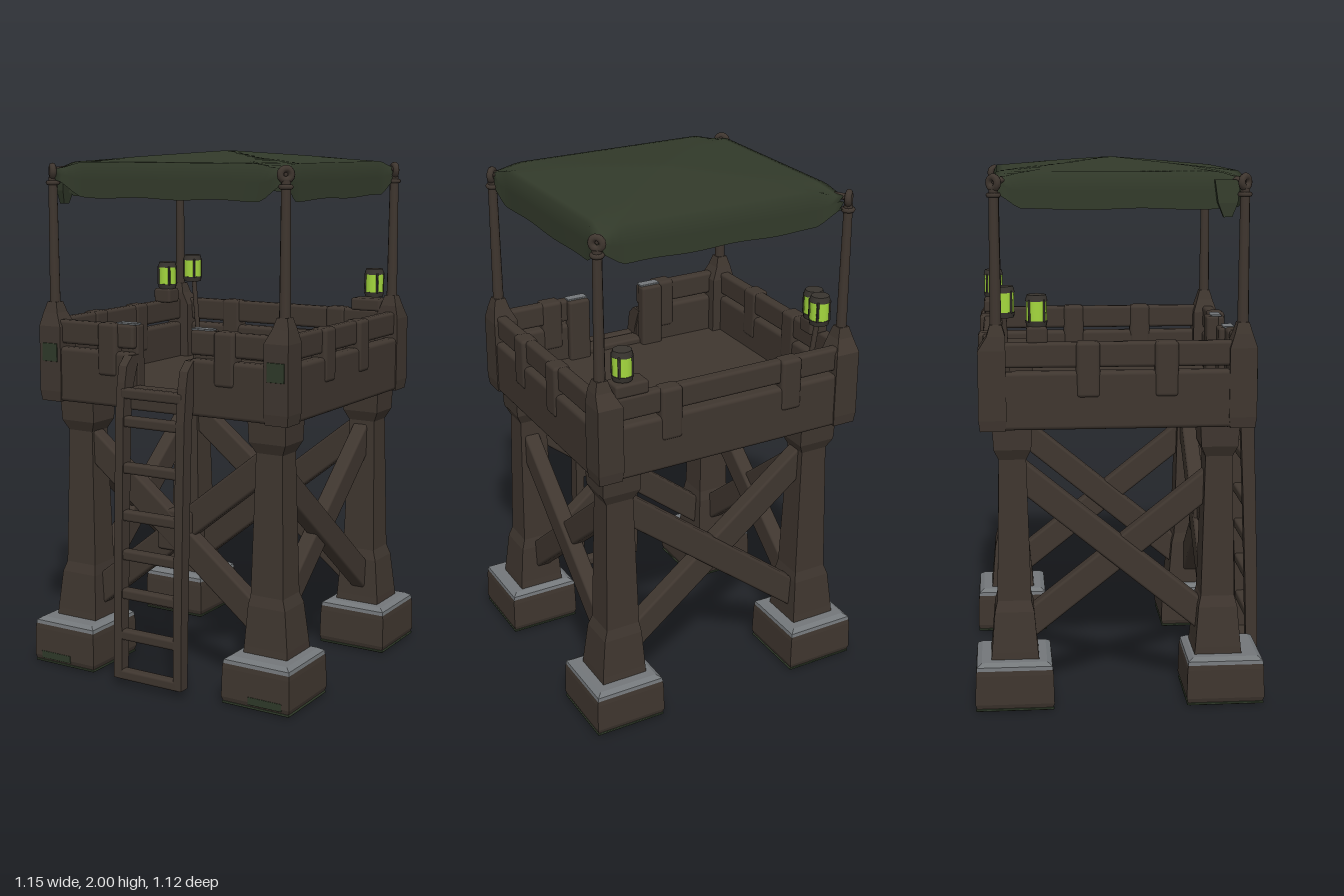
import * as THREE from 'three';
import { RoundedBoxGeometry } from 'three/addons/geometries/RoundedBoxGeometry.js';

const mat = (name, color, extra = {}) => {
  const m = new THREE.MeshStandardMaterial({ color, ...extra });
  m.name = name;
  return m;
};

export function createModel() {
  const root = new THREE.Group();
  root.name = 'watchtower';
  const wood = mat('weathered wood', 0x3f362f);
  const canvas = mat('green canvas', 0x323a2a, { side: THREE.DoubleSide });
  const moss = mat('moss', 0x2f3a29);
  const stone = mat('grey stone', 0x73777a);
  const glow = mat('lantern glass', 0xa4d83e);
  const dark = mat('dark metal', 0x38342f);

  const add = (name, geo, material, parent = root) => {
    const mesh = new THREE.Mesh(geo, material);
    mesh.name = name;
    parent.add(mesh);
    return mesh;
  };
  // Softly rounded box centred on (x, y, z)
  const box = (name, w, h, d, x, y, z, material = wood, parent = root, r = 0.01) => {
    const mesh = add(name, new RoundedBoxGeometry(w, h, d, 2, Math.min(r, w / 3, h / 3, d / 3)), material, parent);
    mesh.position.set(x, y, z);
    return mesh;
  };
  // Stack of rectangular sections [y, centreX, centreZ, width, depth], closed at both ends
  const loft = (sections) => {
    const rings = sections.map(([y, cx, cz, w, d]) =>
      [[-1, 1], [1, 1], [1, -1], [-1, -1]].map(([a, b]) => [cx + a * w / 2, y, cz + b * d / 2]));
    const p = [];
    const quad = (a, b, c, d) => p.push(...a, ...b, ...c, ...a, ...c, ...d);
    for (let i = 0; i < rings.length - 1; i++) {
      for (let k = 0; k < 4; k++) {
        const n = (k + 1) % 4;
        quad(rings[i][k], rings[i][n], rings[i + 1][n], rings[i + 1][k]);
      }
    }
    const top = rings[rings.length - 1], bot = rings[0];
    quad(top[0], top[1], top[2], top[3]);
    quad(bot[3], bot[2], bot[1], bot[0]);
    const g = new THREE.BufferGeometry();
    g.setAttribute('position', new THREE.Float32BufferAttribute(p, 3));
    g.computeVertexNormals();
    return g;
  };
  // Square beam between two points
  const beam = (name, a, b, w, d) => {
    const A = new THREE.Vector3(...a), B = new THREE.Vector3(...b);
    const mesh = box(name, w, A.distanceTo(B), d, 0, 0, 0);
    mesh.position.copy(A).add(B).multiplyScalar(0.5);
    mesh.quaternion.setFromUnitVectors(new THREE.Vector3(0, 1, 0), B.sub(A).normalize());
    return mesh;
  };

  // Footings and tapering legs
  for (const sx of [-1, 1]) {
    for (const sz of [-1, 1]) {
      const fx = sx * 0.432, fz = -0.025 + sz * 0.39;
      const lx = sx * 0.42, lz = sz > 0 ? 0.342 : -0.412;
      add('footing', loft([[0.005, fx, fz, 0.27, 0.275], [0.03, fx, fz, 0.285, 0.29],
        [0.14, fx, fz, 0.28, 0.285], [0.162, fx, fz, 0.274, 0.279]]), wood);
      add('footingTop', loft([[0.158, fx, fz, 0.276, 0.281], [0.172, fx, fz, 0.272, 0.277],
        [0.184, fx, fz, 0.235, 0.24]]), stone);
      box('footingMoss', 0.282, 0.009, 0.287, fx, 0.009, fz, moss);
      box('footingBase', 0.265, 0.004, 0.27, fx, 0.003, fz, wood);
      box('footingCore', 0.12, 0.004, 0.12, fx, 0.002, fz, stone);
      if (sz > 0) box('footingFrontMoss', 0.14, 0.03, 0.006, fx + 0.04 * sx, 0.035, fz + 0.143, moss);
      add('leg', loft([[0.17, lx * 1.02, lz, 0.185, 0.18], [0.21, lx * 1.02, lz, 0.18, 0.17],
        [0.36, lx * 1.01, lz, 0.155, 0.145], [0.4, lx, lz, 0.135, 0.125], [0.95, lx, lz, 0.108, 0.098]]), wood);
      add('legCap', loft([[0.93, lx, lz, 0.11, 0.1], [0.97, lx, lz, 0.15, 0.135],
        [1.06, lx, lz, 0.155, 0.145]]), wood);
    }
  }

  // Crossed braces on all four sides
  for (const s of [-1, 1]) {
    for (const z of [0.342, -0.412]) {
      beam('brace', [-0.4 * s, 0.895, z + s * 0.008], [0.4 * s, 0.26, z + s * 0.008], 0.105, 0.062);
    }
    const x = s * 0.42;
    beam('brace', [x + 0.008, 0.84, 0.335], [x + 0.008, 0.25, -0.405], 0.062, 0.1);
    beam('brace', [x - 0.008, 0.885, -0.405], [x - 0.008, 0.272, 0.335], 0.062, 0.1);
  }
  box('braceJoint', 0.15, 0.16, 0.075, 0, 0.585, 0.342);

  // Platform floor
  const cx = -0.01, cz = -0.033, hx = 0.54, hz = 0.492;
  box('floor', 1.04, 0.06, 0.95, cx, 1.085, cz);

  // Parapet side: lower board, top rail and upright planks, outer face towards local +z
  const wall = (name, spans, planks, x, z, turn) => {
    const g = new THREE.Group();
    g.name = name;
    for (const [a, b] of spans) {
      box('lowerBoard', b - a, 0.21, 0.058, (a + b) / 2, 1.157, -0.029, wood, g, 0.015);
      box('topRail', b - a, 0.09, 0.045, (a + b) / 2, 1.32, -0.033, wood, g, 0.012);
    }
    for (const p of planks) box('plank', 0.085, 0.2, 0.068, p, 1.268, -0.028, wood, g, 0.014);
    g.position.set(x, 0, z);
    g.rotation.y = turn;
    root.add(g);
  };
  wall('frontWall', [[-0.52, -0.12], [0.13, 0.52]], [-0.23, 0.28], cx, cz + hz, 0);
  wall('backWall', [[-0.52, 0.52]], [-0.25, 0.25], cx, cz - hz, Math.PI);
  wall('leftWall', [[-0.47, 0.47]], [-0.173, 0.107], cx + hx, cz, Math.PI / 2);
  wall('rightWall', [[-0.47, 0.47]], [-0.107, 0.173], cx - hx, cz, -Math.PI / 2);

  // Doorposts inside the wall beside the ladder opening
  for (const x of [-0.17, 0.16]) {
    box('doorpost', 0.09, 0.26, 0.05, x, 1.235, 0.4);
    box('doorpostCap', 0.085, 0.008, 0.04, x, 1.367, 0.415, stone);
  }
  box('doorSill', 0.27, 0.085, 0.07, 0, 1.095, 0.438);

  // Corner posts, canopy poles and their lashings
  for (const sx of [-1, 1]) {
    for (const sz of [-1, 1]) {
      const x = cx + sx * 0.495, z = cz + sz * 0.448;
      const px = cx + sx * 0.503, pz = -0.025 + sz * 0.44;
      add('cornerPost', loft([[1.05, x, z, 0.09, 0.09], [1.09, x, z, 0.1, 0.1], [1.34, x, z, 0.098, 0.098],
        [1.39, px, pz, 0.065, 0.065], [1.43, px, pz, 0.042, 0.042]]), wood);
      if (sz > 0) box('mossPatch', 0.07, 0.07, 0.006, x, 1.24, z + 0.05, moss);
      add('pole', new THREE.CylinderGeometry(0.017, 0.021, 0.52, 10), wood).position.set(px, 1.64, pz);
      const loop = add('poleLoop', new THREE.TorusGeometry(0.02, 0.013, 8, 14), wood);
      loop.position.set(px, 1.922, pz);
      loop.rotation.y = sx * sz * Math.PI / 4;
      const tie = add('lashing', new THREE.TorusGeometry(0.018, 0.009, 6, 12), wood);
      tie.position.set(px, 1.88, pz);
      tie.rotation.x = Math.PI / 2;
      beam('canopyTie', [px, 1.925, pz], [px - sx * 0.07, 1.935, pz - sz * 0.06], 0.022, 0.022);
    }
  }

  // Canvas canopy: shallow pyramid whose outer ring hangs as a sagging hem
  const cloth = new THREE.PlaneGeometry(2, 2, 40, 40).rotateX(-Math.PI / 2);
  const pos = cloth.attributes.position;
  for (let i = 0; i < pos.count; i++) {
    const u = pos.getX(i), v = pos.getZ(i);
    const m = Math.max(Math.abs(u), Math.abs(v)), inner = Math.min(m, 0.9) / 0.9;
    const k = m > 0.9 ? 0.9 / m : 1;
    const t = Math.max(0, (m - 0.9) / 0.1);
    const corner = m > 0 ? THREE.MathUtils.smoothstep(Math.min(Math.abs(u), Math.abs(v)) / m, 0.78, 1) : 0;
    const drop = 0.13 - 0.085 * corner + 0.003 * Math.sin(u * 9 + v * 7);
    const spread = 0.975 + 0.025 * corner * inner + 0.01 * t;
    pos.setXYZ(i, u * k / 0.9 * 0.49 * spread,
      2 - 0.042 * inner - 0.025 * corner * inner ** 6 - drop * t,
      -0.022 + v * k / 0.9 * 0.443 * spread);
  }
  cloth.computeVertexNormals();
  add('canopy', cloth, canvas);
  // Loose canvas flap at the front right corner
  add('canopyFlap', loft([[1.8, -0.505, 0.355, 0.02, 0.03], [1.85, -0.5, 0.355, 0.03, 0.07],
    [1.93, -0.485, 0.355, 0.03, 0.09]]), canvas);

  // Ladder with flat rails bending in over the platform edge
  for (const x of [-0.142, 0.125]) {
    add('ladderRail', loft([[0.03, x, 0.533, 0.036, 0.045], [0.35, x, 0.525, 0.036, 0.048],
      [0.7, x, 0.512, 0.036, 0.05], [1.03, x, 0.498, 0.036, 0.052], [1.16, x, 0.48, 0.036, 0.06],
      [1.22, x, 0.462, 0.036, 0.07], [1.255, x, 0.435, 0.036, 0.05]]), wood);
  }
  [0.045, 0.2, 0.36, 0.51, 0.66, 0.84, 1.015, 1.12].forEach((y) =>
    box('rung', 0.27, 0.04, 0.042, -0.008, y, 0.536 - 0.036 * y, wood));

  // Lanterns: glowing drum with dark cap, base and cage bars
  const lantern = (x, y, z) => {
    const g = new THREE.Group();
    g.name = 'lantern';
    add('glass', new THREE.CylinderGeometry(0.037, 0.037, 0.08, 14), glow, g);
    add('cap', new THREE.CylinderGeometry(0.034, 0.04, 0.022, 14), dark, g).position.y = 0.045;
    add('base', new THREE.CylinderGeometry(0.04, 0.036, 0.02, 14), dark, g).position.y = -0.046;
    for (let i = 0; i < 4; i++) {
      const a = Math.PI / 4 + i * Math.PI / 2;
      box('cageBar', 0.009, 0.08, 0.009, Math.cos(a) * 0.037, 0, Math.sin(a) * 0.037, dark, g);
    }
    g.position.set(x, y, z);
    root.add(g);
  };
  lantern(0.41, 1.475, -0.475);
  lantern(-0.432, 1.5, -0.435);
  lantern(-0.485, 1.475, -0.32);
  // Shelves and a leaning bracket that carry the lanterns
  box('lanternShelf', 0.13, 0.05, 0.08, 0.39, 1.388, -0.475);
  box('lanternShelf', 0.08, 0.06, 0.075, -0.49, 1.39, -0.32);
  beam('lanternBracket', [-0.385, 1.11, -0.42], [-0.425, 1.46, -0.435], 0.018, 0.018);

  // Crate on the deck and peg below it
  box('crate', 0.2, 0.14, 0.15, 0.15, 1.18, -0.4);
  box('crateLid', 0.21, 0.02, 0.16, 0.15, 1.255, -0.4);
  box('peg', 0.018, 0.06, 0.018, -0.31, 1.04, -0.285);

  return root;
}
